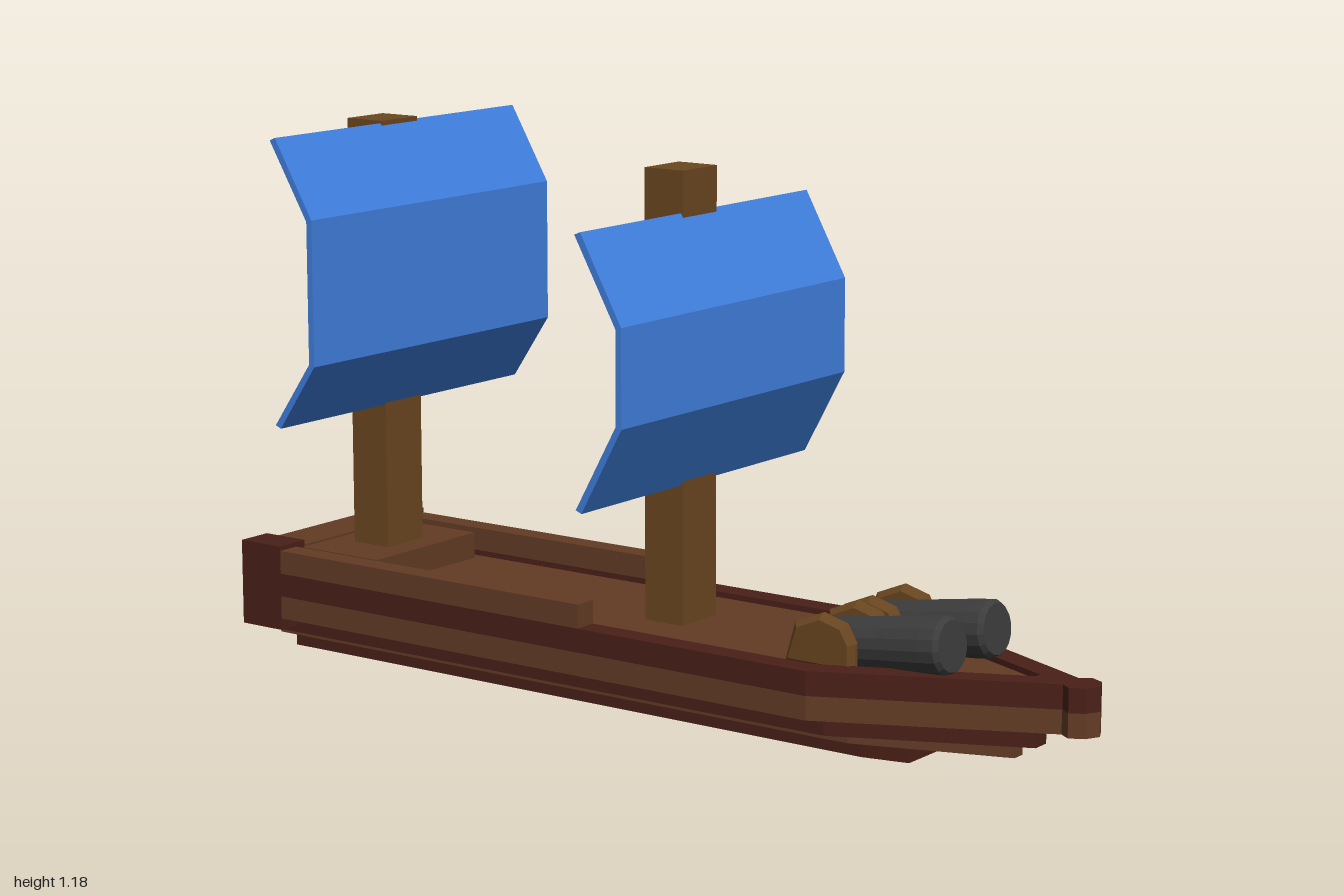
import * as THREE from 'three';

const mat = (color, extra = {}) => Object.assign(
  new THREE.MeshStandardMaterial({ flatShading: true, ...extra }), { color: new THREE.Color(color) });

export function createModel() {
  const ship = new THREE.Group();
  const wood = mat(0x633c25), trim = mat(0x4a2018), mastWood = mat(0x6b4721);
  const cloth = mat(0x4080e0, { side: THREE.DoubleSide }), iron = mat(0x3c3c3c);

  const add = (name, geometry, material, parent = ship) => {
    const mesh = new THREE.Mesh(geometry, material);
    mesh.name = name;
    parent.add(mesh);
    return mesh;
  };
  // Box given by its lower and upper corner
  const box = (name, [x0, y0, z0], [x1, y1, z1], material) =>
    add(name, new THREE.BoxGeometry(x1 - x0, y1 - y0, z1 - z0), material)
      .position.set((x0 + x1) / 2, (y0 + y1) / 2, (z0 + z1) / 2);

  // Plan outline: straight sides, tapering to a narrow bow
  const plan = (half, back, shoulder, bow, tip) => [
    [-half, back], [half, back], [half, shoulder], [tip, bow], [-tip, bow], [-half, shoulder],
  ].map(([x, z]) => new THREE.Vector2(x, z));
  // Extrude a plan between two heights
  const slab = (name, points, y0, y1, material, hole) => {
    const shape = new THREE.Shape(points);
    if (hole) shape.holes.push(new THREE.Path(hole));
    const g = new THREE.ExtrudeGeometry(shape, { depth: y1 - y0, bevelEnabled: false });
    g.rotateX(Math.PI / 2).translate(0, y1, 0);
    return add(name, g, material);
  };

  // Stepped hull, keel upwards
  slab('keel', plan(0.07, -1, 0.5, 0.6, 0.05), 0, 0.055, trim);
  slab('keelCap', plan(0.07, -0.99, 0.52, 0.7, 0.02), 0.032, 0.07, wood);
  slab('lowerStrake', plan(0.12, -1, 0.5, 0.82, 0.015), 0.04, 0.075, wood);
  slab('middleStrake', plan(0.19, -0.93, 0.49, 0.87, 0.02), 0.07, 0.11, trim);
  slab('upperStrake', plan(0.238, -0.92, 0.48, 0.95, 0.02), 0.11, 0.16, wood);
  slab('gunwale', plan(0.24, -0.92, 0.48, 0.95, 0.022), 0.16, 0.21, trim,
    plan(0.187, -0.9, 0.46, 0.86, 0.008).reverse());
  slab('deck', plan(0.19, -0.91, 0.46, 0.87, 0.008), 0.15, 0.198, wood);

  // Bow post
  const post = [[-0.02, 0.92], [0.02, 0.92], [0.045, 0.955], [0.03, 0.985], [0, 1], [-0.03, 0.985], [-0.045, 0.955]]
    .map(([x, z]) => new THREE.Vector2(x, z));
  slab('bowPostLower', post, 0.11, 0.16, wood);
  slab('bowPostUpper', post, 0.16, 0.21, trim);

  // Stern wall, rear deck, rails and corner posts
  box('sternWall', [-0.165, 0.07, -0.995], [0.165, 0.26, -0.89], wood);
  box('rearDeck', [-0.165, 0.19, -0.9], [0.165, 0.255, -0.68], wood);
  for (const s of [-1, 1]) {
    const side = s > 0 ? 'left' : 'right';
    const span = (a, b) => [Math.min(s * a, s * b), Math.max(s * a, s * b)];
    const [r0, r1] = span(0.187, 0.238), [p0, p1] = span(0.16, 0.24);
    box(side + 'Rail', [r0, 0.2, -0.9], [r1, 0.26, -0.08], wood);
    box(side + 'SternPost', [p0, 0.085, -1], [p1, 0.27, -0.89], trim);
  }

  // Masts
  box('frontMast', [-0.058, 0.19, -0.043], [0.058, 1.136, 0.053], mastWood);
  box('rearMast', [-0.058, 0.25, -0.835], [0.058, 1.183, -0.739], mastWood);

  // Sails: a folded strip of (z, y) points, thickened and extruded sideways
  const sail = (name, points) => {
    const t = 0.014;
    const back = points.map(([z, y], i) => [z - t, y + [-0.006, -0.004, 0.004, 0.006][i]]).reverse();
    const shape = new THREE.Shape([...points, ...back].map(([z, y]) => new THREE.Vector2(-z, y)));
    const g = new THREE.ExtrudeGeometry(shape, { depth: 0.778, bevelEnabled: false });
    g.translate(0, 0, -0.389).rotateY(Math.PI / 2);
    add(name, g, cloth);
  };
  sail('frontSail', [[0.048, 1.05], [0.147, 0.872], [0.147, 0.672], [0.048, 0.492]]);
  sail('rearSail', [[-0.742, 1.178], [-0.646, 1.015], [-0.646, 0.71], [-0.742, 0.57]]);

  // Cannons with a faceted wooden cheek on each side
  const barrel = [[0, 0], [0.03, 0.008], [0.048, 0.04], [0.053, 0.1], [0.056, 0.2], [0.06, 0.3], [0.06, 0.335], [0.052, 0.345], [0, 0.345]]
    .map(([r, h]) => new THREE.Vector2(r, h));
  const cheek = new THREE.Shape([[-0.525, 0.205], [-0.525, 0.25], [-0.508, 0.28], [-0.46, 0.293], [-0.405, 0.27], [-0.385, 0.205]]
    .map(([z, y]) => new THREE.Vector2(z, y)));
  for (const s of [-1, 1]) {
    const cannon = new THREE.Group();
    cannon.name = s > 0 ? 'leftCannon' : 'rightCannon';
    ship.add(cannon);
    const gun = add('barrel', new THREE.LatheGeometry(barrel, 16), iron, cannon);
    gun.position.set(s * 0.083, 0.222, 0.375);
    gun.rotation.x = Math.PI / 2 - 0.12;
    for (const x of [0.025, 0.147]) {
      const g = new THREE.ExtrudeGeometry(cheek, {
        depth: 0.008, bevelThickness: 0.012, bevelSize: 0.012, bevelSegments: 1,
      });
      g.translate(0, 0, -0.004).rotateY(Math.PI / 2);
      add('cheek', g, mastWood, cannon).position.x = s * x;
    }
  }
  return ship;
}
